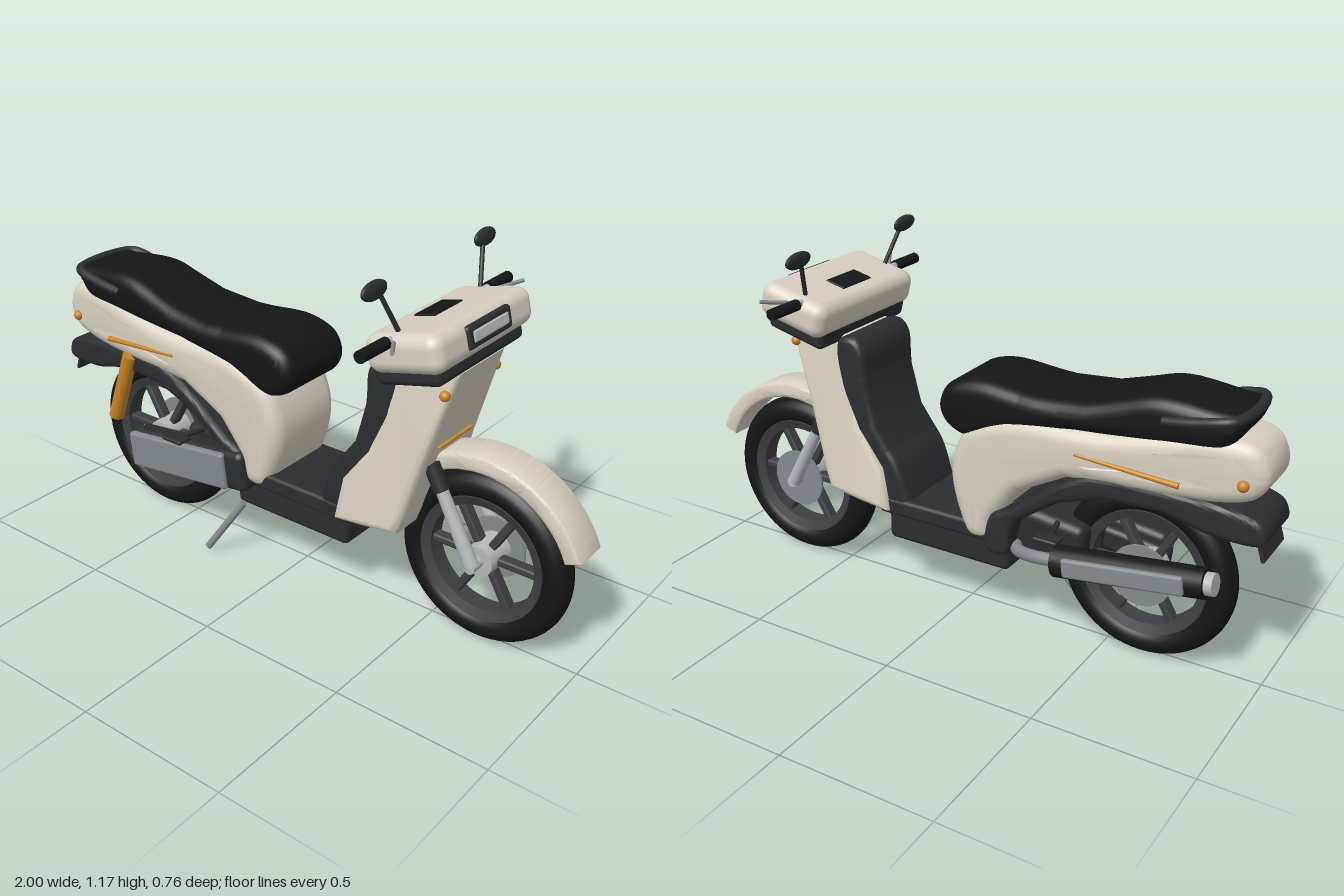
import * as THREE from 'three';
import { toCreasedNormals } from 'three/addons/utils/BufferGeometryUtils.js';
import { RoundedBoxGeometry } from 'three/addons/geometries/RoundedBoxGeometry.js';

const mat = (color) => new THREE.MeshStandardMaterial({ color, side: THREE.DoubleSide });
const cream = mat(0xd8d0c1), black = mat(0x151617), dark = mat(0x2b2d30), rimGrey = mat(0x3d3f44);
const grey = mat(0x83898f), silver = mat(0xb4b8bc), orange = mat(0xc98426), lens = mat(0xbcc4c2);
const V = (x, y, z) => new THREE.Vector3(x, y, z);

function add(parent, name, geometry, material, x = 0, y = 0, z = 0, tilt = 0) {
  const mesh = new THREE.Mesh(geometry, material);
  mesh.name = name;
  mesh.position.set(x, y, z);
  mesh.rotation.z = tilt;
  parent.add(mesh);
  return mesh;
}

const box = (w, h, d, r = 0.01) => new RoundedBoxGeometry(w, h, d, 4, r);

// Round bar between two points
function rod(parent, name, a, b, r, material, r2 = r) {
  const dir = b.clone().sub(a);
  const mesh = add(parent, name, new THREE.CylinderGeometry(r2, r, dir.length(), 20), material);
  mesh.position.copy(a).addScaledVector(dir, 0.5);
  mesh.quaternion.setFromUnitVectors(V(0, 1, 0), dir.normalize());
  return mesh;
}

// Side outline given width and rounded edges; widthAt(x, y) tapers it
function slab(outline, half, bevel, widthAt = () => 1, smooth = true) {
  const pts = outline.map(([x, y]) => new THREE.Vector2(x, y));
  const shape = new THREE.Shape(pts);
  if (smooth) {
    const curve = new THREE.CatmullRomCurve3(pts.map((p) => V(p.x, p.y, 0)), true, 'centripetal');
    shape.setFromPoints(curve.getPoints(90).slice(0, -1).map((p) => new THREE.Vector2(p.x, p.y)));
  }
  return extrude(shape, half, bevel, widthAt);
}

function extrude(shape, half, bevel, widthAt = () => 1) {
  const g = new THREE.ExtrudeGeometry(shape, {
    depth: 2 * (half - bevel), curveSegments: 40, bevelEnabled: true, bevelSegments: 6,
    bevelSize: bevel, bevelThickness: bevel, bevelOffset: -bevel,
  });
  g.translate(0, 0, bevel - half);
  const p = g.attributes.position;
  for (let i = 0; i < p.count; i++) p.setZ(i, p.getZ(i) * widthAt(p.getX(i), p.getY(i)));
  return toCreasedNormals(g, 0.7);
}

function wheel(name, x) {
  const g = new THREE.Group();
  g.name = name;
  g.position.set(x, 0.285, 0);
  const ring = (pts) => new THREE.LatheGeometry(pts.map(([r, z]) => new THREE.Vector2(r, z)), 64).rotateX(Math.PI / 2);
  const tyre = [];
  for (let i = 0; i <= 24; i++) {
    const a = (i / 24) * Math.PI * 2;
    tyre.push([0.236 + 0.046 * Math.cos(a), 0.05 * Math.sin(a)]);
  }
  add(g, 'tyre', ring(tyre), black);
  add(g, 'rim', toCreasedNormals(ring([[0.175, -0.03], [0.205, -0.042], [0.215, 0], [0.205, 0.042], [0.175, 0.03], [0.175, -0.03]]), 0.6), rimGrey);
  for (let i = 0; i < 6; i++) {
    const a = (i / 6) * Math.PI * 2;
    add(g, 'spoke', box(0.15, 0.026, 0.04, 0.008), rimGrey, 0.11 * Math.cos(a), 0.11 * Math.sin(a), 0, a);
  }
  add(g, 'hub', new THREE.CylinderGeometry(0.048, 0.055, 0.1, 32).rotateX(Math.PI / 2), silver);
  add(g, 'brakeDisc', new THREE.CylinderGeometry(0.1, 0.1, 0.008, 40).rotateX(Math.PI / 2), grey, 0, 0, -0.055);
  add(g, 'axle', new THREE.CylinderGeometry(0.018, 0.018, 0.2, 20).rotateX(Math.PI / 2), silver);
  return g;
}

export function createModel() {
  const model = new THREE.Group();
  model.name = 'scooter';
  model.add(wheel('rearWheel', -0.62), wheel('frontWheel', 0.675));

  // Front mudguard, concentric with the wheel
  const guard = new THREE.Shape();
  guard.absarc(0.675, 0.285, 0.35, 0.37, 2.2, false);
  guard.absarc(0.675, 0.285, 0.297, 2.2, 0.37, true);
  add(model, 'frontMudguard', extrude(guard, 0.066, 0.012), cream);

  // Leg shield and its inner knee panel
  add(model, 'legShield', slab([[0.225, 0.315], [0.33, 0.325], [0.455, 0.345], [0.475, 0.4], [0.53, 0.6], [0.622, 0.9], [0.38, 0.87],
    [0.385, 0.72], [0.335, 0.58], [0.25, 0.46]], 0.15, 0.025, (x, y) => 1.13 - 0.28 * Math.max(0, (y - 0.35) / 0.55), false), cream);
  add(model, 'kneePanel', slab([[0.16, 0.33], [0.17, 0.4], [0.2, 0.48], [0.28, 0.59], [0.315, 0.72], [0.325, 0.84], [0.36, 0.875],
    [0.42, 0.86], [0.41, 0.7], [0.36, 0.55], [0.29, 0.44], [0.27, 0.33]], 0.142, 0.025), dark);
  add(model, 'shieldTrim', box(0.02, 0.008, 0.18, 0.003), orange, 0.542, 0.637, 0);

  // Floor and battery box
  add(model, 'footboard', box(0.42, 0.06, 0.29, 0.015), dark, 0.06, 0.33);
  add(model, 'batteryBox', box(0.45, 0.115, 0.24, 0.02), dark, 0.025, 0.258);

  // Rear bodywork
  const tailTaper = (x) => 1 - 0.36 * Math.pow(Math.max(0, (-0.45 - x) / 0.55), 1.5);
  add(model, 'rearBody', slab([[-0.99, 0.7], [-0.955, 0.78], [-0.85, 0.8], [-0.5, 0.75], [-0.2, 0.73], [-0.06, 0.67], [-0.01, 0.58], [0, 0.5],
    [-0.025, 0.39], [-0.07, 0.305], [-0.14, 0.31], [-0.17, 0.4], [-0.25, 0.5], [-0.4, 0.58], [-0.63, 0.59], [-0.86, 0.605], [-0.955, 0.635]],
  0.157, 0.05, tailTaper), cream);
  add(model, 'rearMudguard', slab([[-0.995, 0.51], [-0.985, 0.565], [-0.93, 0.59], [-0.7, 0.615], [-0.48, 0.61], [-0.36, 0.55], [-0.22, 0.44], [-0.15, 0.4],
    [-0.14, 0.28], [-0.21, 0.28], [-0.24, 0.4], [-0.38, 0.5], [-0.52, 0.545], [-0.7, 0.545], [-0.85, 0.505]],
  0.158, 0.02, (x) => 1 - 0.32 * Math.max(0, (-0.4 - x) / 0.6)), dark);
  add(model, 'plateHolder', box(0.012, 0.09, 0.17, 0.005), dark, -0.978, 0.49, 0, -0.3);

  // Saddle
  add(model, 'seat', slab([[-0.91, 0.86], [-0.82, 0.875], [-0.66, 0.885], [-0.55, 0.855], [-0.45, 0.825], [-0.3, 0.812], [-0.08, 0.825],
    [0.015, 0.79], [0.045, 0.72], [0.02, 0.665], [-0.04, 0.635], [-0.1, 0.64], [-0.2, 0.69], [-0.42, 0.73], [-0.69, 0.745], [-0.87, 0.775]],
  0.15, 0.045, (x) => 1 - 0.17 * Math.max(0, (-0.35 - x) / 0.55)), black);
  const rail = new THREE.CatmullRomCurve3([V(-0.69, 0.825, 0.13), V(-0.78, 0.84, 0.135), V(-0.88, 0.86, 0.125), V(-0.905, 0.862, 0.07),
    V(-0.905, 0.862, -0.07), V(-0.88, 0.86, -0.125), V(-0.78, 0.84, -0.135), V(-0.69, 0.825, -0.13)]);
  add(model, 'grabRail', new THREE.TubeGeometry(rail, 60, 0.016, 12), dark);

  // Handlebar cowl with lamp and display
  const head = new THREE.Group();
  head.name = 'handlebarCowl';
  head.position.set(0.51, 0.968, 0);
  head.rotation.z = 0.24;
  model.add(head);
  add(head, 'cowl', box(0.25, 0.115, 0.51, 0.04), cream);
  add(head, 'cowlBase', box(0.215, 0.07, 0.45, 0.02), dark, -0.012, -0.062);
  add(head, 'lampFrame', box(0.025, 0.068, 0.226, 0.011), dark, 0.121, 0.005);
  add(head, 'headlamp', box(0.016, 0.036, 0.185, 0.007), lens, 0.129, 0.005);
  add(head, 'display', box(0.07, 0.008, 0.145, 0.003), black, -0.03, 0.058);

  // Drive unit on the left flank, swing arm and engine block
  add(model, 'engineBlock', box(0.34, 0.17, 0.2, 0.03), dark, -0.27, 0.34, 0, 0.12);
  add(model, 'swingArm', box(0.4, 0.08, 0.06, 0.02), dark, -0.45, 0.3, 0.1, 0.12);
  add(model, 'driveCase', box(0.5, 0.14, 0.08, 0.025), dark, -0.38, 0.313, 0.133, 0.125);
  add(model, 'drivePanel', box(0.43, 0.125, 0.03, 0.01), grey, -0.415, 0.308, 0.172, 0.125);
  rod(model, 'shockAbsorber', V(-0.745, 0.355, 0.135), V(-0.655, 0.61, 0.135), 0.026, orange);
  rod(model, 'kickstand', V(-0.16, 0.215, 0.135), V(-0.28, 0.025, 0.185), 0.012, grey);

  // Exhaust on the right flank
  rod(model, 'silencer', V(-0.4, 0.33, -0.178), V(-0.87, 0.395, -0.178), 0.05, black, 0.046);
  rod(model, 'silencerTip', V(-0.85, 0.392, -0.178), V(-0.895, 0.398, -0.178), 0.034, silver);
  add(model, 'heatShield', box(0.38, 0.06, 0.02, 0.009), grey, -0.63, 0.366, -0.225, -0.138);
  const pipe = new THREE.CatmullRomCurve3([V(-0.42, 0.333, -0.178), V(-0.33, 0.32, -0.175), V(-0.24, 0.3, -0.13), V(-0.2, 0.3, -0.06)]);
  add(model, 'exhaustPipe', new THREE.TubeGeometry(pipe, 30, 0.02, 14), grey);

  // Mirrored pairs
  for (const s of [1, -1]) {
    rod(model, 'forkLeg', V(0.675, 0.285, 0.083 * s), V(0.545, 0.53, 0.083 * s), 0.023, silver, 0.019);
    rod(model, 'forkSleeve', V(0.56, 0.5, 0.083 * s), V(0.52, 0.575, 0.083 * s), 0.025, dark);
    rod(model, 'handlebar', V(0.47, 1.0, 0.2 * s), V(0.47, 1.0, 0.27 * s), 0.012, silver);
    rod(model, 'grip', V(0.47, 1.0, 0.26 * s), V(0.47, 1.0, 0.38 * s), 0.018, black);
    rod(model, 'brakeLever', V(0.485, 1.0, 0.245 * s), V(0.545, 1.018, 0.34 * s), 0.006, grey);
    rod(model, 'mirrorStem', V(0.475, 1.02, 0.21 * s), V(0.445, 1.135, 0.26 * s), 0.007, dark);
    const glass = add(model, 'mirror', new THREE.SphereGeometry(1, 28, 18), dark, 0.44, 1.147, 0.278 * s, 0.15);
    glass.scale.set(0.014, 0.027, 0.057);
    rod(model, 'sideStripe', V(-0.75, 0.646, 0.137 * s), V(-0.435, 0.675, 0.156 * s), 0.009, orange, 0.005);
    add(model, 'rearIndicator', new THREE.SphereGeometry(0.017, 20, 14), orange, -0.925, 0.68, 0.114 * s);
    add(model, 'frontIndicator', new THREE.SphereGeometry(0.016, 20, 14), orange, 0.585, 0.83, 0.135 * s);
    add(model, 'footPeg', box(0.08, 0.014, 0.055, 0.006), dark, -0.385, 0.412, 0.207 * s);
    rod(model, 'footPegArm', V(-0.36, 0.41, 0.1 * s), V(-0.385, 0.41, 0.19 * s), 0.009, dark);
  }
  return model;
}
